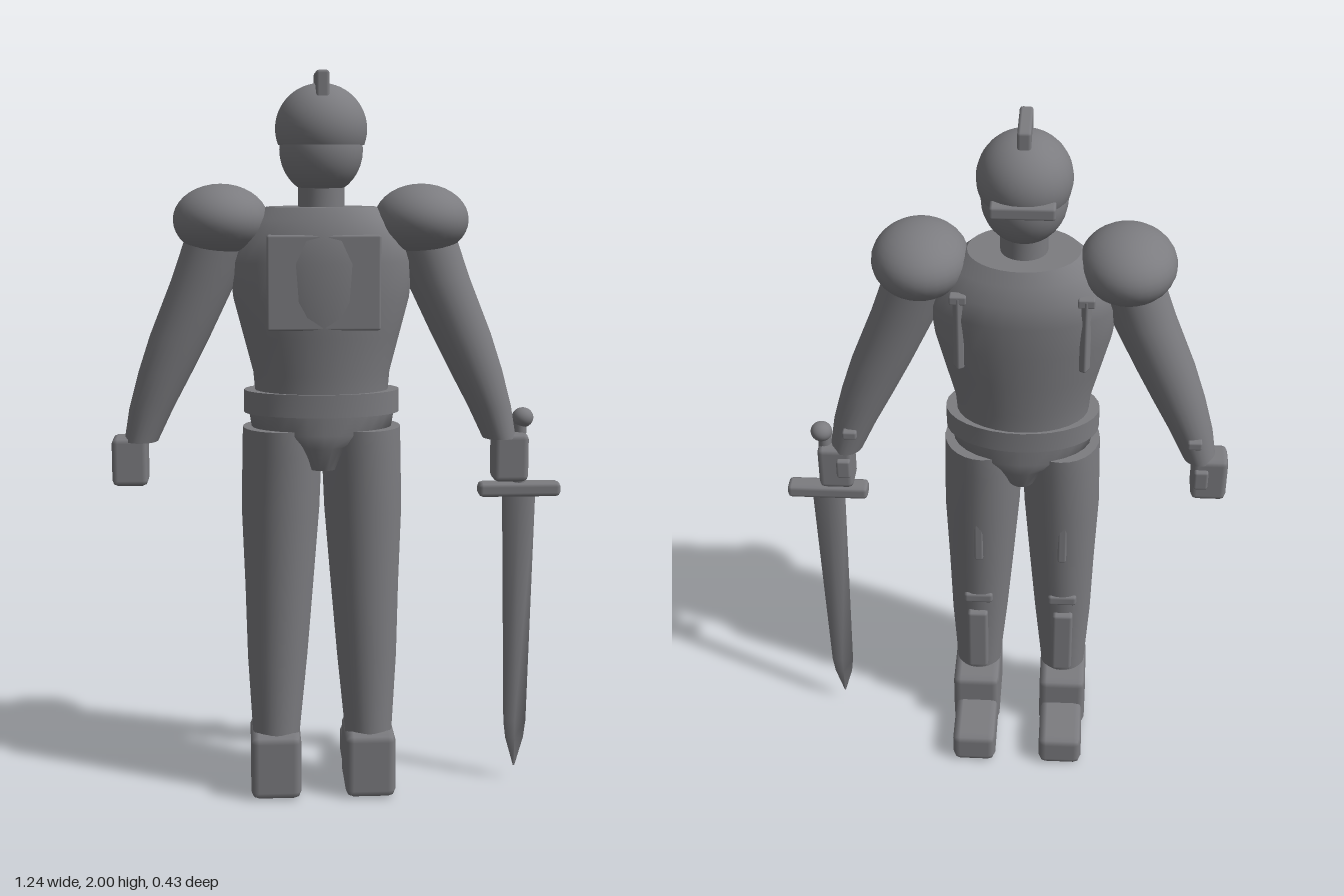
import * as THREE from 'three';
import { RoundedBoxGeometry } from 'three/addons/geometries/RoundedBoxGeometry.js';

const CX = -0.05; // body axis; the sword arm side balances it
const CZ = 0.057;

export function createModel() {
  const model = new THREE.Group();
  model.name = 'armoredFigure';
  const grey = new THREE.MeshStandardMaterial({ color: 0x7c7c80 });
  grey.name = 'steelGrey';

  function add(name, geometry, x = 0, y = 0, z = 0) {
    const mesh = new THREE.Mesh(geometry, grey);
    mesh.name = name;
    mesh.position.set(x, y, z);
    model.add(mesh);
    return mesh;
  }

  // Chamfered box given by centre and size
  function box(name, x, y, z, w, h, d, r = 0.012) {
    return add(name, new RoundedBoxGeometry(w, h, d, 1, Math.min(r, w * 0.3, h * 0.3, d * 0.3)), x, y, z);
  }

  function ball(name, x, y, z, rx, ry, rz, thetaLength = Math.PI) {
    const g = new THREE.SphereGeometry(1, 28, 18, 0, Math.PI * 2, 0, thetaLength);
    return add(name, g.scale(rx, ry, rz), x, y, z);
  }

  // Capped elliptical loft; rings run bottom to top as [y, x, z, rx, rz]
  function loft(name, rings, n = 28) {
    const a = rings[0], b = rings[rings.length - 1];
    const all = [[a[0], a[1], a[2], 0, 0], a, ...rings, b, [b[0], b[1], b[2], 0, 0]];
    const pos = [], idx = [];
    all.forEach(([y, x, z, rx, rz], j) => {
      for (let i = 0; i < n; i++) {
        const t = (i / n) * Math.PI * 2;
        pos.push(x + rx * Math.cos(t), y, z + rz * Math.sin(t));
        if (j === all.length - 1) continue;
        const p = j * n + i, q = j * n + ((i + 1) % n);
        idx.push(p, p + n, q, q, p + n, q + n);
      }
    });
    const g = new THREE.BufferGeometry();
    g.setAttribute('position', new THREE.Float32BufferAttribute(pos, 3));
    g.setIndex(idx);
    g.computeVertexNormals();
    return add(name, g);
  }

  // Head, helmet, visor and crest
  ball('head', CX, 1.795, CZ, 0.112, 0.12, 0.115);
  ball('helmet', CX, 1.85, CZ + 0.002, 0.123, 0.12, 0.132, 1.93);
  box('visor', CX, 1.818, -0.05, 0.165, 0.035, 0.06, 0.008);
  box('crest', CX, 1.95, 0.074, 0.035, 0.1, 0.158, 0.008);
  loft('neck', [[1.62, CX, CZ, 0.062, 0.062], [1.7, CX, CZ, 0.062, 0.062]]);

  // Torso, waist and pelvis
  loft('torso', [
    [1.13, CX, CZ, 0.18, 0.13], [1.2, CX, CZ, 0.186, 0.133],
    [1.3, CX, CZ, 0.212, 0.145], [1.4, CX, CZ, 0.238, 0.155],
    [1.5, CX, 0.053, 0.25, 0.16], [1.56, CX, 0.053, 0.235, 0.155],
    [1.61, CX, CZ, 0.19, 0.138], [1.645, CX, CZ, 0.148, 0.12],
  ], 32);
  loft('belt', [[1.09, CX, CZ, 0.212, 0.138], [1.152, CX, CZ, 0.212, 0.138]], 32);
  loft('pelvis', [
    [0.94, CX, CZ, 0.055, 0.1], [1.005, CX, CZ, 0.1, 0.13],
    [1.04, CX, CZ, 0.19, 0.133], [1.1, CX, CZ, 0.2, 0.134],
  ]);
  box('chestPlate', CX, 1.45, 0.165, 0.3, 0.25, 0.08, 0.006);

  for (const s of [-1, 1]) {
    const at = (d) => CX + s * d;
    // Back straps
    const strap = box('backStrap', at(0.165), 1.46, -0.058, 0.022, 0.22, 0.03, 0.006);
    strap.rotation.y = s * 0.5;
    box('strapBuckle', at(0.165), 1.56, -0.058, 0.045, 0.025, 0.03, 0.005);

    // Arms
    ball('shoulderGuard', at(0.27), 1.61, CZ, 0.128, 0.096, 0.147);
    loft('arm', [
      [1.01, at(0.494), 0.042, 0.046, 0.056], [1.1, at(0.465), 0.045, 0.06, 0.063],
      [1.2, at(0.425), 0.05, 0.073, 0.07], [1.3, at(0.383), 0.053, 0.082, 0.074],
      [1.45, at(0.317), 0.057, 0.088, 0.082], [1.58, at(0.27), CZ, 0.09, 0.086],
    ], 24);
    box('wristStud', at(0.475), 1.09, -0.018, 0.04, 0.025, 0.03, 0.006);
    box('hand', at(0.525), 0.955, 0.035, 0.098, 0.135, 0.092, 0.016);
    box('thumb', at(0.5), 0.965, -0.013, 0.04, 0.06, 0.025, 0.008);

    // Legs
    loft('leg', [
      [0.17, at(0.13), 0.072, 0.065, 0.07], [0.4, at(0.125), 0.068, 0.083, 0.08],
      [0.6, at(0.119), 0.062, 0.094, 0.096], [0.82, at(0.114), 0.058, 0.107, 0.11],
      [0.98, at(0.109), CZ, 0.109, 0.124], [1.05, at(0.108), CZ, 0.108, 0.126],
    ]);
    box('thighRod', at(0.12), 0.755, -0.038, 0.025, 0.17, 0.022, 0.006);
    box('kneePad', at(0.124), 0.5, -0.01, 0.085, 0.035, 0.035, 0.01);
    box('shinPlate', at(0.127), 0.335, -0.008, 0.06, 0.22, 0.05, 0.01);
    box('heel', at(0.132), 0.098, 0.052, 0.14, 0.185, 0.215, 0.022);
    box('toe', at(0.13), 0.055, -0.125, 0.128, 0.1, 0.185, 0.022);
  }

  // Sword: pommel, grip, guard and a tapering diamond blade
  const sx = 0.505, sz = 0.027;
  ball('swordPommel', 0.512, 1.062, sz, 0.03, 0.028, 0.03);
  add('swordGrip', new THREE.CylinderGeometry(0.018, 0.018, 0.2, 14), sx, 0.96, sz);
  box('swordGuard', sx, 0.86, sz, 0.23, 0.04, 0.055, 0.012);
  loft('swordBlade', [
    [0.045, sx, sz, 0.002, 0.002], [0.13, sx, sz, 0.026, 0.007],
    [0.18, sx, sz, 0.032, 0.009], [0.85, sx, sz, 0.047, 0.012],
  ], 4);

  return model;
}
